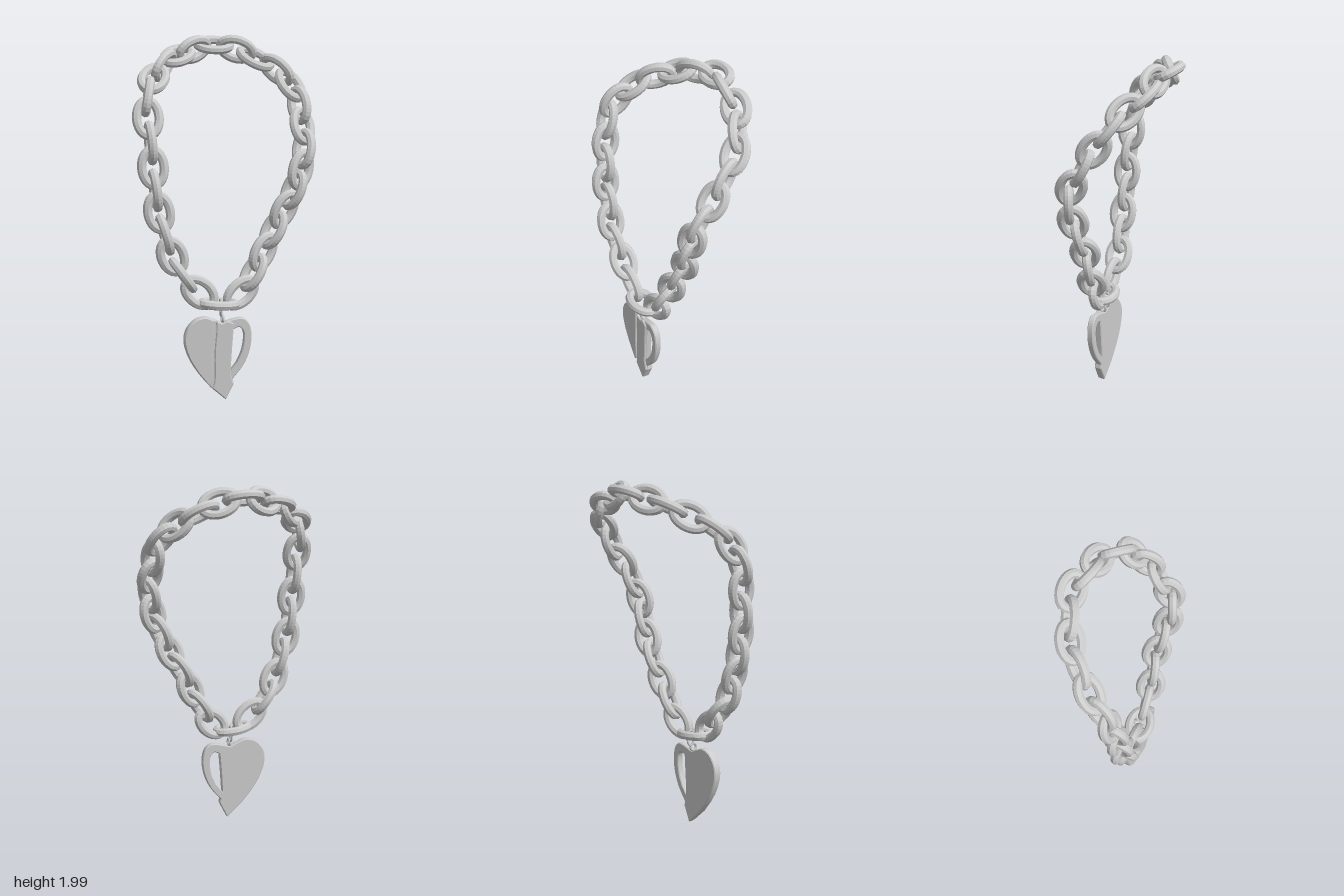
import * as THREE from 'three';
import { toCreasedNormals } from 'three/addons/utils/BufferGeometryUtils.js';

const V = (x, y, z = 0) => new THREE.Vector3(x, y, z);

// Closed oval in the xy plane, used for chain links and the hanger
class Oval extends THREE.Curve {
  constructor(a, b) {
    super();
    this.a = a;
    this.b = b;
  }
  getPoint(t, target = new THREE.Vector3()) {
    const u = t * Math.PI * 2;
    return target.set(this.a * Math.cos(u), this.b * Math.sin(u), 0);
  }
}

// Link centres: from the bottom link up the right side, over the back, down the left
const CENTRES = [
  [-0.06, 0.55, 0.19], [-0.17, 0.62, 0.2], [-0.26, 0.72, 0.2], [-0.32, 0.83, 0.215],
  [-0.36, 0.95, 0.222], [-0.39, 1.07, 0.215], [-0.41, 1.19, 0.22], [-0.42, 1.31, 0.21],
  [-0.43, 1.44, 0.2], [-0.44, 1.57, 0.18], [-0.43, 1.68, 0.125], [-0.385, 1.77, 0.045],
  [-0.31, 1.835, -0.055], [-0.22, 1.885, -0.135], [-0.12, 1.915, -0.185], [0.005, 1.94, -0.237],
  [0.13, 1.915, -0.21], [0.24, 1.865, -0.21], [0.35, 1.8, -0.15], [0.415, 1.72, -0.095],
  [0.445, 1.61, -0.02], [0.445, 1.5, 0.05], [0.435, 1.38, 0.12], [0.41, 1.27, 0.15],
  [0.37, 1.16, 0.15], [0.32, 1.05, 0.14], [0.26, 0.94, 0.14], [0.2, 0.82, 0.15],
  [0.14, 0.71, 0.165], [0.07, 0.6, 0.17],
].map((p) => V(...p));

function createChain(material) {
  const chain = new THREE.Group();
  chain.name = 'chain';
  const geometry = new THREE.TubeGeometry(new Oval(0.095, 0.06), 28, 0.025, 8, true);
  const { smoothstep } = THREE.MathUtils;
  const n = CENTRES.length;
  CENTRES.forEach((centre, i) => {
    const tangent = CENTRES[(i + 1) % n].clone().sub(CENTRES[(i + n - 1) % n]).normalize();
    // The loop faces forward at the front and tips upward toward the back
    const tip = smoothstep(centre.y, 1.3, 1.95) * 1.1;
    const facing = V(0, Math.sin(tip), Math.cos(tip));
    const side = facing.clone().cross(tangent).normalize();
    facing.crossVectors(tangent, side);
    // The left strand is twisted outward
    const roll = 0.45 * smoothstep(centre.x, -0.05, 0.2) * (1 - smoothstep(centre.y, 1.6, 1.85));
    facing.applyAxisAngle(tangent, -roll);
    side.applyAxisAngle(tangent, -roll);
    // Every second link is turned a quarter about the chain
    const normal = i % 2 ? facing : side;
    const across = normal.clone().cross(tangent);
    const link = new THREE.Mesh(geometry, material);
    link.name = 'chainLink';
    link.quaternion.setFromRotationMatrix(new THREE.Matrix4().makeBasis(tangent, across, normal));
    link.position.copy(centre);
    chain.add(link);
  });
  return chain;
}

// Closed outline from runs of points; each run is smooth, corners lie between runs
function outline(target, start, ...runs) {
  target.moveTo(...start);
  runs.forEach((run) => {
    if (run.length === 1) target.lineTo(...run[0]);
    else target.splineThru(run.map((p) => new THREE.Vector2(...p)));
  });
  target.closePath();
  return target;
}

function slab(name, shape, back, front, bevel, material) {
  const geometry = new THREE.ExtrudeGeometry(shape, {
    depth: front - back - 2 * bevel, curveSegments: 20, bevelSegments: 1,
    bevelThickness: bevel, bevelSize: bevel, bevelOffset: -bevel,
  });
  const mesh = new THREE.Mesh(toCreasedNormals(geometry, 0.4), material);
  mesh.name = name;
  mesh.position.z = back + bevel;
  return mesh;
}

function createPendant(material) {
  const pendant = new THREE.Group();
  pendant.name = 'heartPendant';

  // Heart silhouette with the opening that leaves a handle on one lobe
  const heart = outline(new THREE.Shape(), [-0.025, 0.01],
    [[0.02, 0.1]], [[0.015, 0.125]],
    [[0.075, 0.2], [0.11, 0.28], [0.122, 0.36], [0.11, 0.43], [0.075, 0.465], [0.03, 0.465], [-0.045, 0.445]],
    [[-0.085, 0.463], [-0.14, 0.482], [-0.2, 0.465], [-0.245, 0.41], [-0.255, 0.34],
      [-0.23, 0.255], [-0.18, 0.17], [-0.11, 0.085]]);
  heart.holes.push(outline(new THREE.Path(), [0.004, 0.172],
    [[0.008, 0.25]], [[0.02, 0.405]],
    [[0.05, 0.417], [0.073, 0.395], [0.079, 0.35], [0.067, 0.28], [0.04, 0.218]]));
  pendant.add(slab('heartPlate', heart, 0.175, 0.212, 0.005, material));

  // Raised front panels with a groove between them
  const outer = outline(new THREE.Shape(), [-0.115, 0.092],
    [[-0.101, 0.13], [-0.1, 0.28], [-0.092, 0.4], [-0.092, 0.462]],
    [[-0.14, 0.48], [-0.2, 0.463], [-0.243, 0.41], [-0.253, 0.34],
      [-0.228, 0.255], [-0.178, 0.17]]);
  pendant.add(slab('outerPanel', outer, 0.195, 0.222, 0.005, material));

  const centre = outline(new THREE.Shape(), [-0.025, 0.013],
    [[0.018, 0.1]], [[0, 0.16]], [[0.006, 0.25]], [[0.018, 0.44]],
    [[-0.015, 0.455], [-0.045, 0.445], [-0.08, 0.46]],
    [[-0.078, 0.4], [-0.088, 0.28], [-0.089, 0.13], [-0.1, 0.08]]);
  pendant.add(slab('centrePanel', centre, 0.195, 0.222, 0.005, material));

  // Small eye on the heart and the hanger that joins it to the bottom link
  const eye = new THREE.Mesh(new THREE.TorusGeometry(0.02, 0.007, 8, 20), material);
  eye.name = 'pendantEye';
  eye.position.set(-0.04, 0.468, 0.193);
  eye.rotation.y = Math.PI / 2;
  const hanger = new THREE.Mesh(new THREE.TubeGeometry(new Oval(0.022, 0.045), 24, 0.006, 8, true), material);
  hanger.name = 'hangerRing';
  hanger.position.set(-0.045, 0.525, 0.17);
  hanger.rotation.y = Math.PI / 2;
  pendant.add(eye, hanger);
  return pendant;
}

export function createModel() {
  const model = new THREE.Group();
  model.name = 'heartNecklace';
  const faceted = new THREE.MeshStandardMaterial({ color: 0xcccccc, flatShading: true });
  const smooth = new THREE.MeshStandardMaterial({ color: 0xcccccc });
  model.add(createChain(faceted), createPendant(smooth));
  return model;
}
